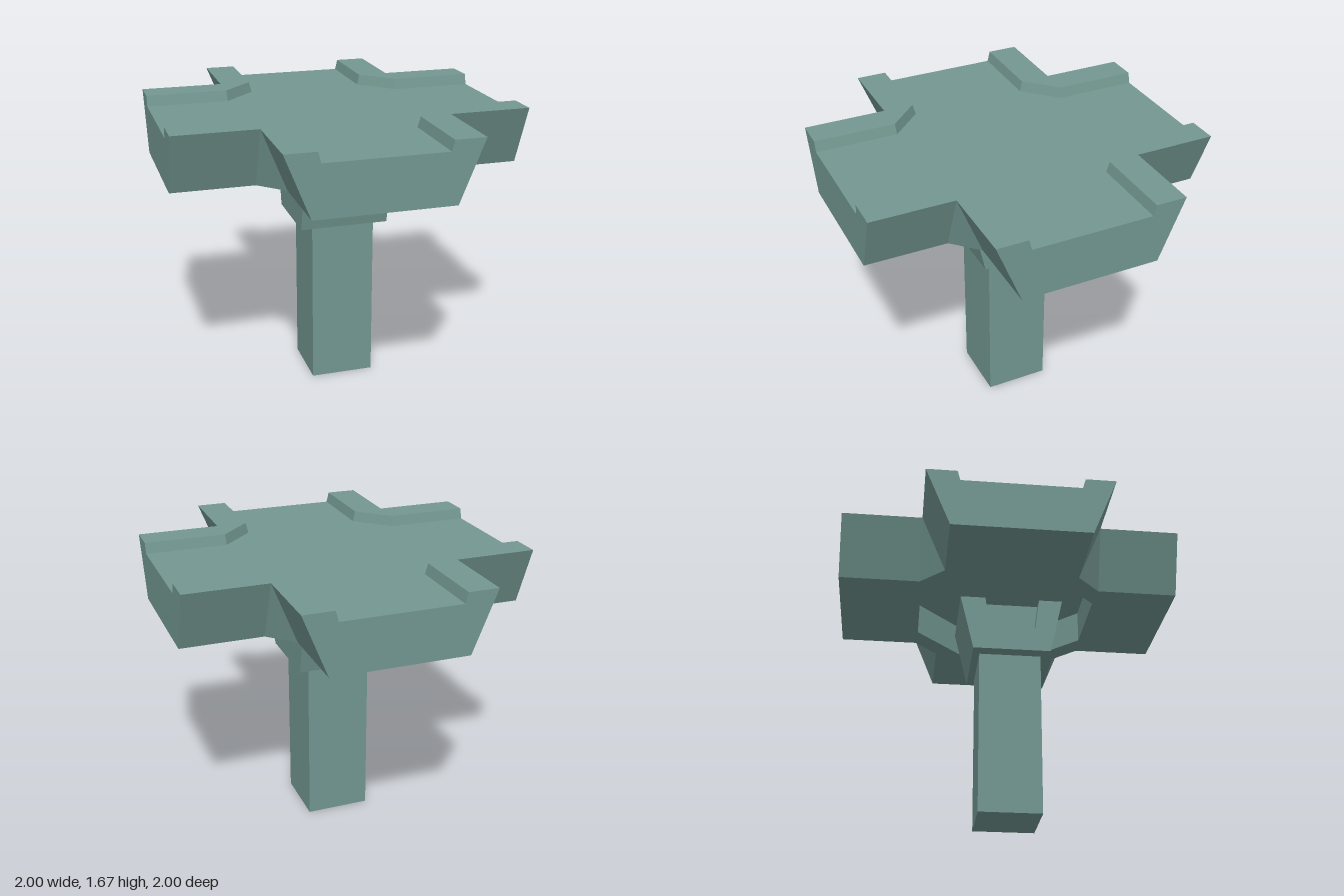
import * as THREE from 'three';

const material = new THREE.MeshStandardMaterial({ color: 0x739791, flatShading: true });

// Repeats a quarter of a ring (points [x, z]) four times around the y axis.
function ring(quarter, y) {
  const points = [];
  for (let k = 0; k < 4; k++) {
    for (let [x, z] of quarter) {
      for (let r = 0; r < k; r++) [x, z] = [-z, x];
      points.push([x, y, z]);
    }
  }
  return points;
}

// Cross-shaped deck: flared sides, raised kerbs and an octagonal recess below.
function deckGeometry() {
  const centre = [[0, 0], [0, 0], [0, 0], [0, 0]];
  const octagon = [[0.52, 0.24], [0.52, 0.24], [0.24, 0.52], [0.24, 0.52]];
  const rings = [
    ring(centre, 1.52),
    ring(octagon, 1.52),
    ring(octagon, 1.32),
    ring([[1, 0.39], [0.53, 0.39], [0.39, 0.53], [0.39, 1]], 1.32),
    ring([[1, 0.53], [0.53, 0.53], [0.53, 0.53], [0.53, 1]], 1.67),
    ring([[1, 0.355], [0.53, 0.355], [0.355, 0.53], [0.355, 1]], 1.67),
    ring([[1, 0.34], [0.525, 0.34], [0.34, 0.525], [0.34, 1]], 1.61),
    ring(centre, 1.61),
  ];
  const positions = [];
  const triangle = (a, b, c) => {
    const [p, q, r] = [a, b, c].map((v) => new THREE.Vector3(...v));
    if (q.sub(p).cross(r.sub(p)).length() > 1e-6) positions.push(...a, ...b, ...c);
  };
  const quad = (a, b, c, d) => {
    triangle(a, b, c);
    triangle(a, c, d);
  };
  const [BOTTOM, RIM, KERB, ROAD] = [3, 4, 5, 6];
  for (let i = 0; i < 16; i++) {
    const j = (i + 1) % 16;
    const armEnd = i % 4 === 3;
    for (let r = 0; r < rings.length - 1; r++) {
      if (armEnd && r >= BOTTOM && r < ROAD) continue;
      quad(rings[r][i], rings[r + 1][i], rings[r + 1][j], rings[r][j]);
    }
    if (armEnd) {
      // end face of the arm, with a kerb at either side
      quad(rings[BOTTOM][i], rings[ROAD][i], rings[ROAD][j], rings[BOTTOM][j]);
      quad(rings[BOTTOM][i], rings[RIM][i], rings[KERB][i], rings[ROAD][i]);
      quad(rings[ROAD][j], rings[KERB][j], rings[RIM][j], rings[BOTTOM][j]);
    }
  }
  const geometry = new THREE.BufferGeometry();
  geometry.setAttribute('position', new THREE.Float32BufferAttribute(positions, 3));
  geometry.computeVertexNormals();
  return geometry;
}

// Tapered U-shaped bracket around the head of the column.
function bracketGeometry() {
  const profile = [
    [-0.26, 0.98], [0.2, 0.98], [0.28, 1.32], [0.13, 1.32],
    [0.105, 1.13], [-0.17, 1.13], [-0.195, 1.32], [-0.335, 1.32],
  ].map(([x, y]) => new THREE.Vector2(x, y));
  const geometry = new THREE.ExtrudeGeometry(new THREE.Shape(profile), {
    depth: 0.513, bevelEnabled: false,
  });
  return geometry.rotateY(Math.PI / 2).translate(-0.244, 0, 0);
}

export function createModel() {
  const model = new THREE.Group();
  model.name = 'crossroadPillar';
  const add = (name, geometry) => {
    const mesh = new THREE.Mesh(geometry, material);
    mesh.name = name;
    model.add(mesh);
  };
  add('deck', deckGeometry());
  add('bracket', bracketGeometry());
  add('column', new THREE.BoxGeometry(0.37, 1.318, 0.367).translate(0.019, 0.659, 0.026));
  return model;
}
